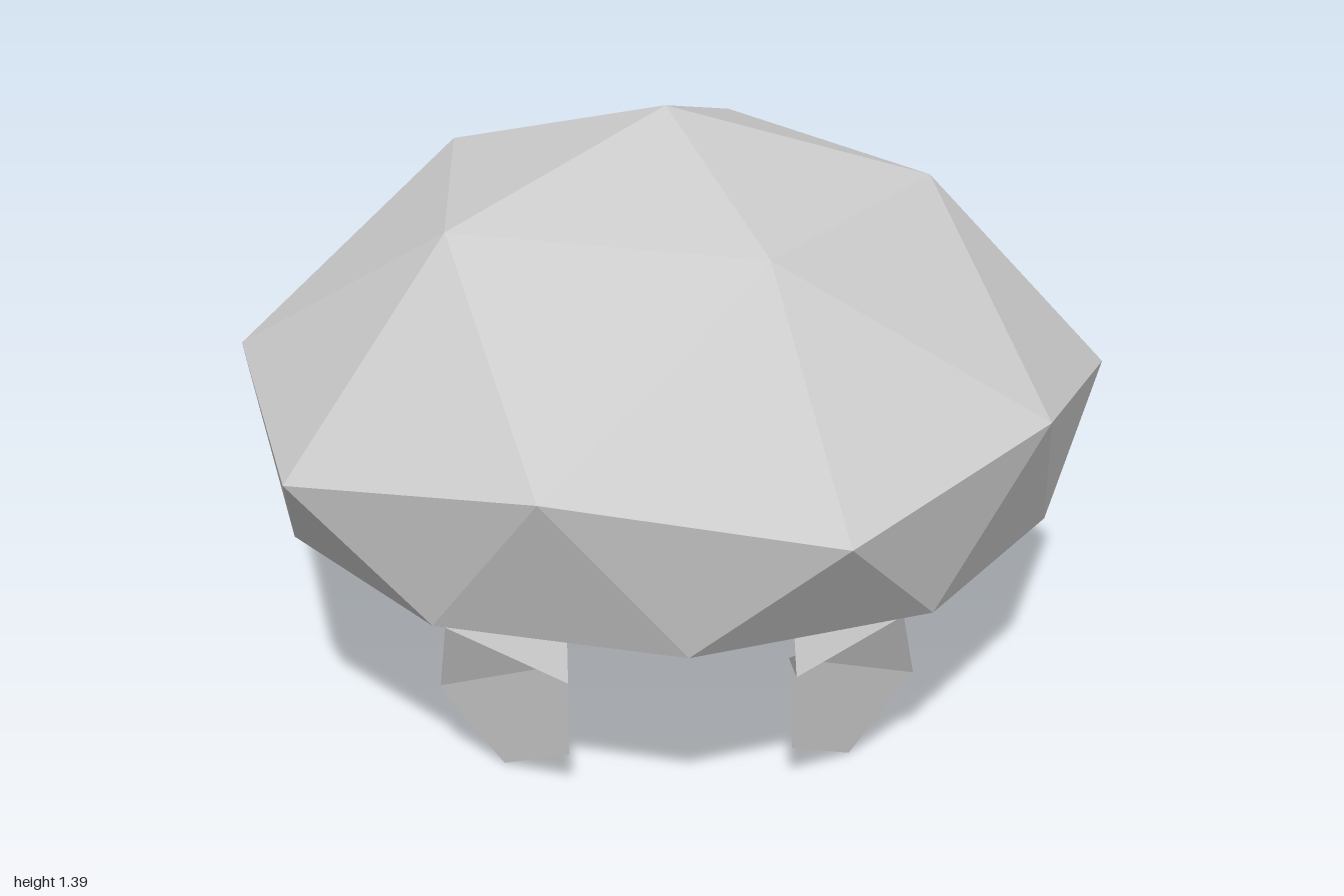
import * as THREE from 'three';

const CENTER_X = -0.025;

// Each face is a convex polygon [p0, p1, ...] shaded with one flat normal
function meshFrom(name, faces, side = THREE.FrontSide) {
  const positions = [], normals = [];
  for (const face of faces) {
    const pts = face.map((p) => new THREE.Vector3(...p));
    const normal = new THREE.Vector3();
    pts.forEach((p, i) => normal.add(new THREE.Vector3().crossVectors(p, pts[(i + 1) % pts.length])));
    normal.normalize();
    for (let i = 1; i < pts.length - 1; i++) {
      for (const p of [pts[0], pts[i], pts[i + 1]]) {
        positions.push(p.x, p.y, p.z);
        normals.push(normal.x, normal.y, normal.z);
      }
    }
  }
  const geo = new THREE.BufferGeometry();
  geo.setAttribute('position', new THREE.Float32BufferAttribute(positions, 3));
  geo.setAttribute('normal', new THREE.Float32BufferAttribute(normals, 3));
  const mesh = new THREE.Mesh(geo, new THREE.MeshStandardMaterial({ color: 0xcccccc, side }));
  mesh.name = name;
  return mesh;
}

const polar = (r, y, deg) => {
  const a = THREE.MathUtils.degToRad(deg);
  return [r * Math.cos(a), y, -r * Math.sin(a)];
};

// Faceted dome: apex, ring of 5, zigzag ring of 10, hem ring of 10
function domeSurface(inset) {
  const k = 1 - inset;
  const apex = [0, 1.393 - inset, 0];
  const upper = [], middle = [], hem = [];
  for (let i = 0; i < 5; i++) upper.push(polar(0.6 * k, 1.222 - inset, 72 * i));
  for (let j = 0; j < 10; j++) {
    const low = j % 2 === 0;
    middle.push(polar((low ? 1.025 : 0.972) * k, (low ? 0.758 : 0.848) - inset * 0.4, 36 * j));
    hem.push(polar(0.893 * k, 0.485 - inset * 0.1, 36 * j + 18));
  }
  const tris = [];
  for (let i = 0; i < 5; i++) {
    const a = upper[i], b = upper[(i + 1) % 5];
    const m0 = middle[2 * i], m1 = middle[2 * i + 1], m2 = middle[(2 * i + 2) % 10];
    tris.push([apex, a, b], [a, m0, m1], [a, m1, b], [b, m1, m2]);
  }
  for (let j = 0; j < 10; j++) {
    const n = (j + 1) % 10;
    tris.push([middle[j], hem[j], middle[n]], [middle[n], hem[j], hem[n]]);
  }
  return { tris, hem };
}

// Folded ribbon: [outer edge, inner edge] at each crease, ceiling to tip
const CREASES = [
  [[0.25, 1.25, 0.15], [0.15, 1.25, 0.25]],
  [[0.30, 0.95, 0.16], [0.15, 0.95, 0.31]],
  [[0.23, 0.75, 0.22], [0.14, 0.75, 0.30]],
  [[0.37, 0.55, 0.16], [0.16, 0.55, 0.35]],
  [[0.245, 0.48, 0.23], [0.155, 0.48, 0.44]],
  [[0.445, 0.40, 0.28], [0.125, 0.40, 0.44]],
  [[0.435, 0.42, 0.40], [0.245, 0.42, 0.58]],
  [[0.515, 0.31, 0.40], [0.245, 0.31, 0.67]],
  [[0.525, 0.22, 0.50], [0.245, 0.27, 0.51]],
];

function ribbon(sx, sz) {
  const faces = [];
  for (let i = 0; i < CREASES.length - 1; i++) {
    const [a, b] = CREASES[i], [c, d] = CREASES[i + 1];
    faces.push([a, b, d, c]);
  }
  // Pointed five-sided end flap
  const [a, b] = CREASES[CREASES.length - 1];
  faces.push([[0.39, 0, 0.47], [0.515, 0.10, 0.35], a, b, [0.245, 0.10, 0.61]]);
  // Mirror into the quadrant, keeping the winding consistent
  return faces.map((f) => {
    const m = f.map(([x, y, z]) => [x * sx, y, z * sz]);
    return sx * sz < 0 ? [m[0], ...m.slice(1).reverse()] : m;
  });
}

export function createModel() {
  const model = new THREE.Group();
  model.name = 'jellyfish';
  const body = new THREE.Group();
  body.name = 'body';
  body.position.x = CENTER_X;
  model.add(body);

  // Bell with thickness: outer skin, inner skin and the rim between them
  const skin = domeSurface(0);
  const lining = domeSurface(0.03);
  const rim = [];
  for (let j = 0; j < 10; j++) {
    const n = (j + 1) % 10;
    rim.push([skin.hem[j], lining.hem[j], lining.hem[n], skin.hem[n]]);
  }
  body.add(meshFrom('bell', skin.tris));
  body.add(meshFrom('bellLining', lining.tris.map((t) => [...t].reverse())));
  body.add(meshFrom('bellRim', rim));

  // Four tentacles, one per quadrant
  for (const sx of [1, -1]) {
    for (const sz of [1, -1]) {
      const name = `${sz > 0 ? 'front' : 'back'}${sx > 0 ? 'Left' : 'Right'}Tentacle`;
      body.add(meshFrom(name, ribbon(sx, sz), THREE.DoubleSide));
    }
  }
  return model;
}
